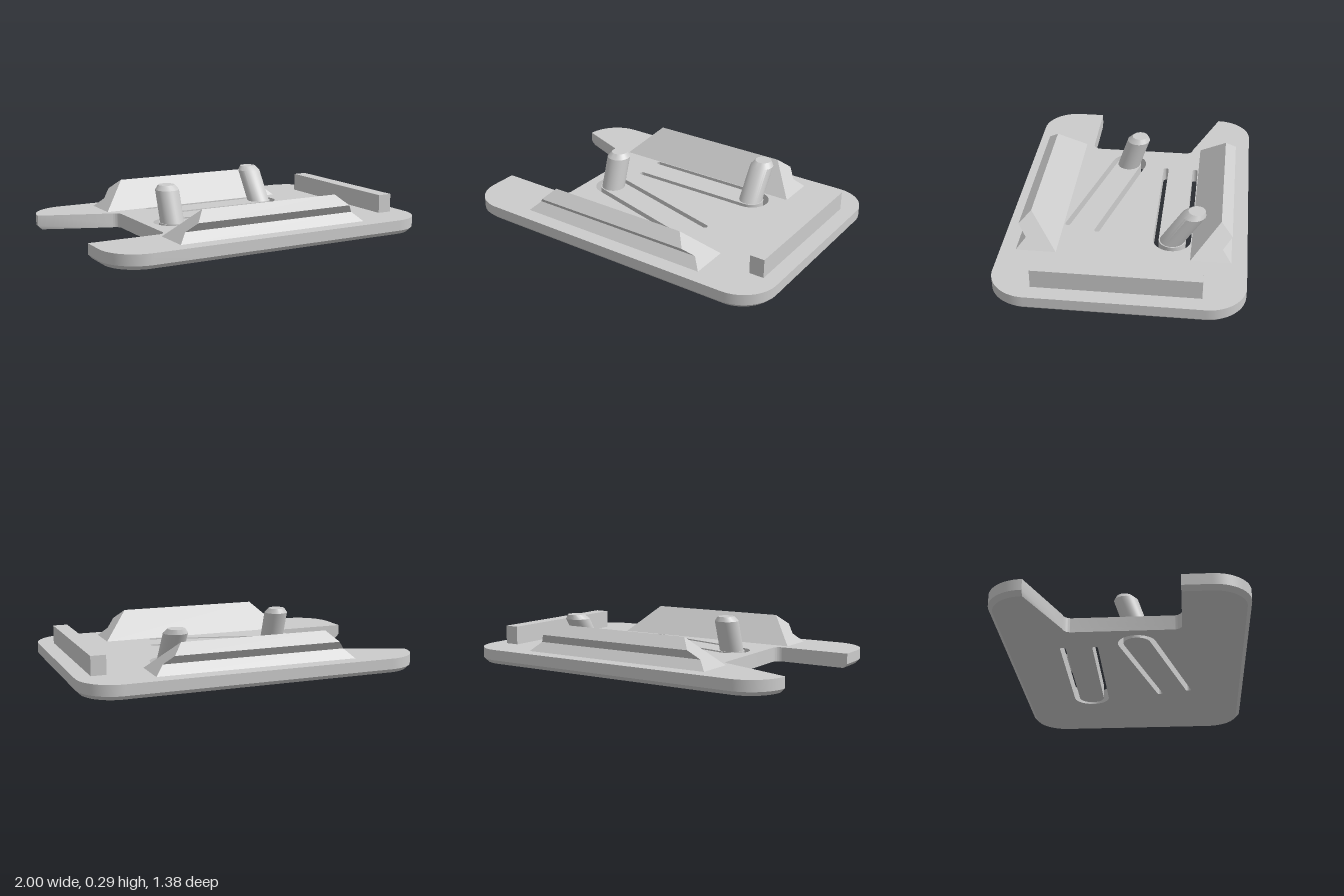
import * as THREE from 'three';
import { toCreasedNormals } from 'three/addons/utils/BufferGeometryUtils.js';

const TOP = 0.086;      // upper face of the plate
const CHAMFER = 0.024;  // bevel round the plate's underside
const HX = 1, HZ = 0.69, CORNER = 0.21;
const material = new THREE.MeshStandardMaterial({ color: 0xcccccc });

function addMesh(group, name, geometry, crease = 0.5) {
  const mesh = new THREE.Mesh(toCreasedNormals(geometry, crease), material);
  mesh.name = name;
  group.add(mesh);
  return mesh;
}

// Move every vertex of a geometry by a rule
function reshape(geometry, rule) {
  const pos = geometry.attributes.position;
  const v = new THREE.Vector3();
  for (let i = 0; i < pos.count; i++) {
    rule(v.fromBufferAttribute(pos, i));
    pos.setXYZ(i, v.x, v.y, v.z);
  }
  return geometry;
}

// U-shaped slot that frees a spring tongue; (x, z) is the centre of its bend
function uSlot(x, z, angle) {
  const R = 0.108, r = 0.076, L = 0.744, mid = (R + r) / 2, end = (R - r) / 2;
  const Q = Math.PI / 2;
  const path = new THREE.Path();
  path.absarc(0, 0, R, -Q, Q, false);
  path.absarc(-L, mid, end, Q, 3 * Q, false);
  path.absarc(0, 0, r, Q, -Q, true);
  path.absarc(-L, -mid, end, Q, 3 * Q, false);
  const centre = new THREE.Vector2(x, z);
  const origin = new THREE.Vector2();
  return new THREE.Path(path.getPoints(12).map(p => p.rotateAround(origin, angle).add(centre)));
}

// Plate outline drawn in x and z, with a notch in the -x side
function plateGeometry(slots) {
  const Q = Math.PI / 2, cx = HX - CORNER, cz = HZ - CORNER;
  const notchX = -0.545, notchZ = 0.325, f = 0.045;
  const s = new THREE.Shape();
  s.moveTo(-HX, -notchZ);
  s.absarc(-cx, -cz, CORNER, 2 * Q, 3 * Q, false);
  s.absarc(cx, -cz, CORNER, -Q, 0, false);
  s.absarc(cx, cz, CORNER, 0, Q, false);
  s.absarc(-cx, cz, CORNER, Q, 2 * Q, false);
  s.lineTo(-HX, notchZ);
  s.absarc(notchX - f, notchZ - f, f, Q, 0, true);
  s.absarc(notchX - f, -notchZ + f, f, 0, -Q, true);
  s.holes.push(...slots);

  const geometry = new THREE.ExtrudeGeometry(s, { depth: 2, steps: 2, bevelEnabled: false, curveSegments: 14 });
  geometry.rotateX(Q);
  const levels = [TOP, CHAMFER, 0];
  return reshape(geometry, v => {
    const level = Math.round(-v.y);
    v.y = levels[level];
    if (level < 2) return;
    // Draw the lowest ring inwards along the rounded rectangle's normal
    const qx = Math.abs(v.x) - cx, qz = Math.abs(v.z) - cz;
    const ox = Math.max(qx, 0), oz = Math.max(qz, 0);
    const d = Math.hypot(ox, oz);
    if (d > CORNER - CHAMFER) {
      const k = (CORNER - CHAMFER) / d;
      if (qx > 0) v.x = Math.sign(v.x) * (cx + ox * k);
      if (qz > 0) v.z = Math.sign(v.z) * (cz + oz * k);
    }
  });
}

// Rail with a V groove on its outer side and ends sloped at 45 degrees
function railGeometry() {
  const profile = [[0.375, TOP], [0.602, TOP], [0.552, 0.138], [0.602, 0.19], [0.537, 0.248]];
  const shape = new THREE.Shape(profile.map(([z, y]) => new THREE.Vector2(-z, y)));
  const geometry = new THREE.ExtrudeGeometry(shape, { depth: 2, bevelEnabled: false });
  geometry.translate(0, 0, -1).rotateY(Math.PI / 2);
  return reshape(geometry, v => { v.x = Math.sign(v.x) * (0.595 - (v.y - TOP)); });
}

// Round pin with a bevelled flat top, sheared so it leans towards -z
function pinGeometry(lean) {
  const profile = [[0.0695, TOP], [0.0695, 0.268], [0.048, 0.295], [0, 0.295]];
  const geometry = new THREE.LatheGeometry(profile.map(([r, y]) => new THREE.Vector2(r, y)), 32);
  return reshape(geometry, v => { v.z -= lean * (v.y - TOP); });
}

export function createModel() {
  const model = new THREE.Group();
  model.name = 'slottedPlate';

  // Each pin stands on the tip of a spring tongue
  const tongues = [
    { name: 'backPin', x: 0.41, z: -0.262, angle: 0, lean: 0.65 },
    { name: 'frontPin', x: -0.38, z: 0.071, angle: Math.PI * (1 + 15 / 180), lean: 0.34 },
  ];
  addMesh(model, 'plate', plateGeometry(tongues.map(t => uSlot(t.x, t.z, t.angle))));
  for (const t of tongues) {
    addMesh(model, t.name, pinGeometry(t.lean)).position.set(t.x, 0, t.z);
  }

  // Grooved rails, mirrored front and back
  addMesh(model, 'frontRail', railGeometry());
  addMesh(model, 'backRail', railGeometry()).rotation.y = Math.PI;

  // Stop bar along the left edge
  const height = 0.195 - TOP;
  addMesh(model, 'stopBar', new THREE.BoxGeometry(0.086, height, 0.916))
    .position.set(0.867, TOP + height / 2, 0);

  return model;
}
